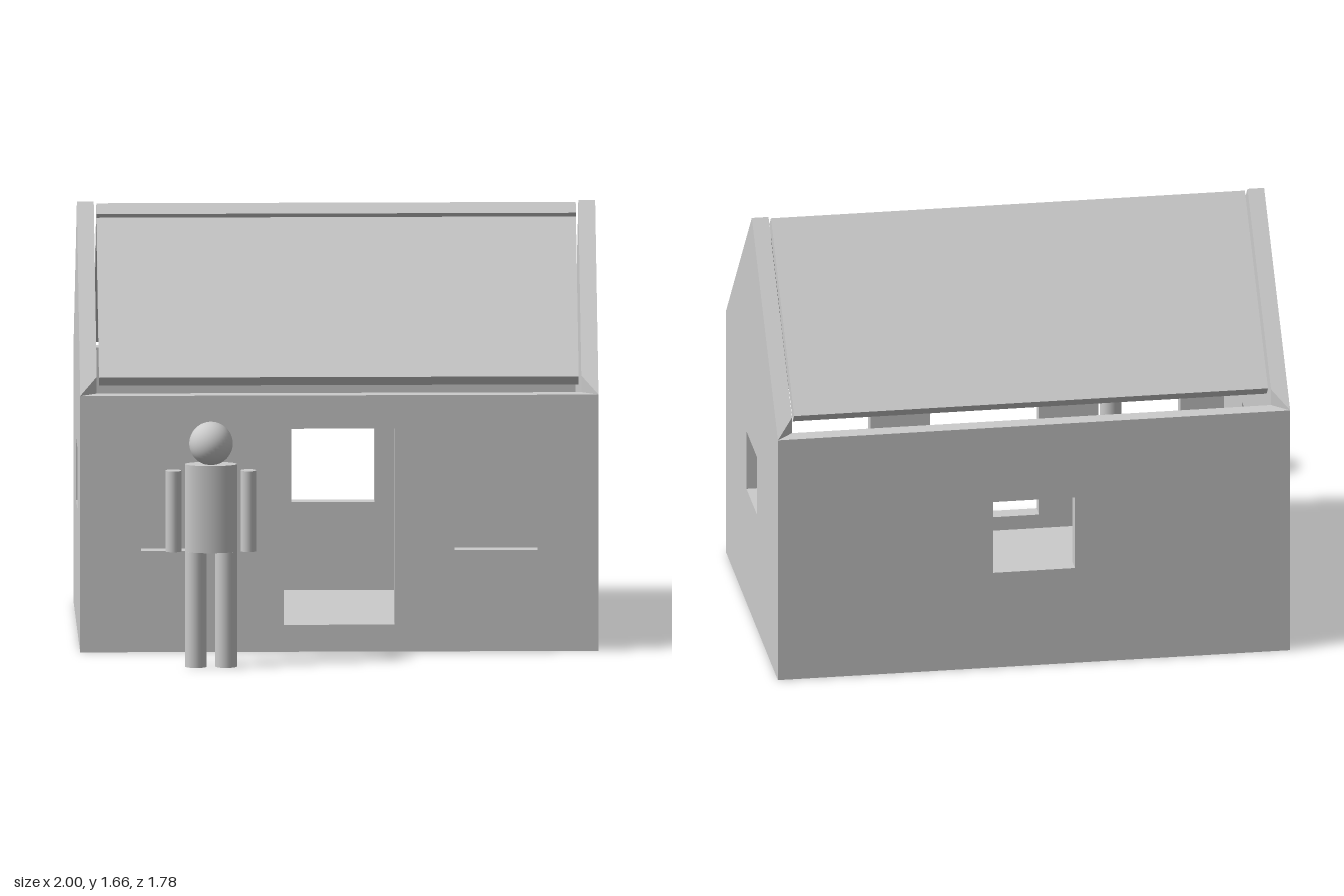
import * as THREE from 'three';

const WALL = 0.065;      // wall thickness
const HALF_W = 1;        // half width of the house
const HALF_D = 0.66;     // half depth of the house
const HOUSE_Z = -0.23;   // middle of the house
const EAVE = 1, RIDGE = 1.66;

const grey = new THREE.MeshStandardMaterial({ color: 0xcccccc });
grey.name = 'light grey';

function part(name, geometry, parent, x = 0, y = 0, z = 0) {
  const mesh = new THREE.Mesh(geometry, grey);
  mesh.name = name;
  mesh.position.set(x, y, z);
  parent.add(mesh);
  return mesh;
}

// Wall panel with rectangular openings [x0, x1, y0, y1] and mitred side edges
function wallGeometry(half, ridge, openings) {
  const shape = new THREE.Shape();
  shape.moveTo(-half, 0);
  shape.lineTo(half, 0);
  shape.lineTo(half, EAVE);
  if (ridge) shape.lineTo(0, ridge);
  shape.lineTo(-half, EAVE);
  shape.closePath();
  for (const [x0, x1, y0, y1] of openings) {
    const hole = new THREE.Path();
    hole.moveTo(x0, y0);
    hole.lineTo(x0, y1);
    hole.lineTo(x1, y1);
    hole.lineTo(x1, y0);
    hole.closePath();
    shape.holes.push(hole);
  }
  const geometry = new THREE.ExtrudeGeometry(shape, { depth: WALL, bevelEnabled: false });
  const p = geometry.attributes.position;
  for (let i = 0; i < p.count; i++) {
    const x = p.getX(i), y = p.getY(i);
    // pull in the inner side edges; on a gable they slide up the roof slope
    if (p.getZ(i) < WALL / 2 && Math.abs(x) > half - 0.001) {
      p.setX(i, x - Math.sign(x) * WALL);
      if (ridge && y > EAVE - 0.001) p.setY(i, y + WALL);
    }
  }
  geometry.computeVertexNormals();
  return geometry;
}

function createHouse() {
  const house = new THREE.Group();
  house.name = 'house';
  house.position.z = HOUSE_Z;

  // Front wall with a door and two windows, back wall with one window
  part('frontWall', wallGeometry(HALF_W, 0, [
    [-0.765, -0.445, 0.395, 0.69],
    [-0.213, 0.213, 0.105, 0.87],
    [0.445, 0.765, 0.395, 0.69],
  ]), house, 0, 0, HALF_D - WALL);
  part('backWall', wallGeometry(HALF_W, 0, [[-0.16, 0.16, 0.395, 0.69]]),
    house, 0, 0, -(HALF_D - WALL)).rotation.y = Math.PI;

  // Gable walls
  const gable = wallGeometry(HALF_D, RIDGE, [[-0.135, 0.135, 0.475, 0.715]]);
  for (const side of [-1, 1]) {
    part(side > 0 ? 'leftGable' : 'rightGable', gable, house, side * (HALF_W - WALL))
      .rotation.y = side * Math.PI / 2;
  }

  // Floor panel, with a narrow gap to the walls
  part('floor', new THREE.BoxGeometry(1.85, 0.052, 1.175), house, 0, 0.026, 0);

  // Roof panels; the back one laps over the top edge of the front one
  part('frontRoof', new THREE.BoxGeometry(1.85, 0.052, 0.767), house, 0, 1.313, 0.296)
    .rotation.x = Math.PI / 4;
  part('backRoof', new THREE.BoxGeometry(1.85, 0.052, 0.83), house, 0, 1.341, -0.273)
    .rotation.x = -Math.PI / 4;
  return house;
}

function createPerson() {
  const person = new THREE.Group();
  person.name = 'person';
  person.position.set(-0.503, 0, 0.803);

  part('head', new THREE.SphereGeometry(0.084, 32, 24), person, 0, 0.87, 0);
  part('torso', new THREE.CylinderGeometry(0.1, 0.1, 0.34, 40), person, 0, 0.62, 0)
    .scale.z = 0.58;
  const arm = new THREE.CylinderGeometry(0.031, 0.031, 0.315, 24);
  const leg = new THREE.CylinderGeometry(0.042, 0.042, 0.45, 24);
  for (const side of [-1, 1]) {
    const name = side > 0 ? 'left' : 'right';
    part(name + 'Arm', arm, person, side * 0.145, 0.6075, 0);
    part(name + 'Leg', leg, person, side * 0.058, 0.225, 0);
  }
  return person;
}

export function createModel() {
  const model = new THREE.Group();
  model.name = 'houseWithPerson';
  model.add(createHouse(), createPerson());
  return model;
}
